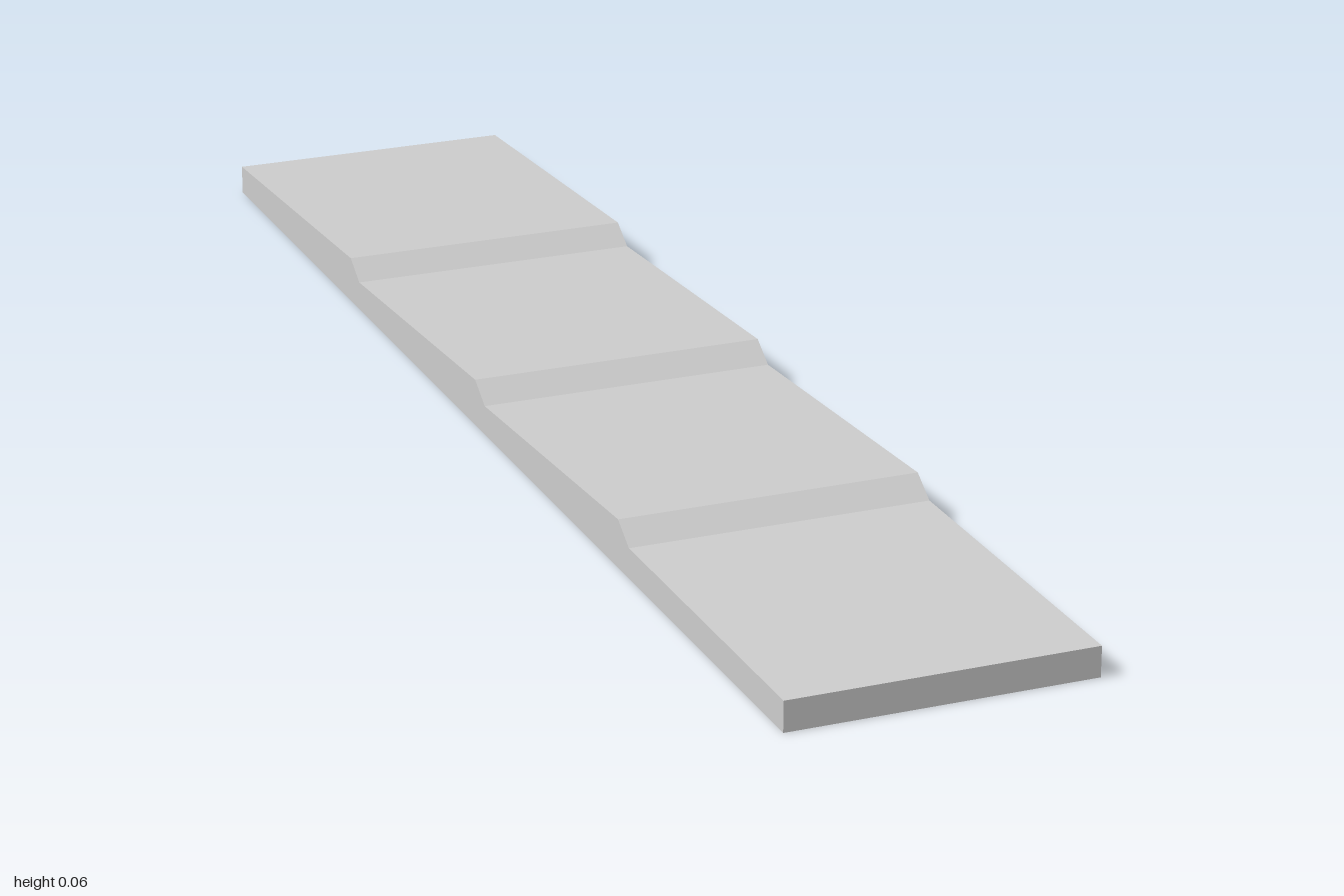
import * as THREE from 'three';

const WIDTH = 0.4, LOW = 0.04, HIGH = 0.064, RAMP = 0.035;

export function createModel() {
  const group = new THREE.Group();
  group.name = 'steppedSlab';
  const grey = new THREE.MeshStandardMaterial({ color: 0xcccccc });
  grey.name = 'light grey';

  // Side profile: shape x runs towards the back (-z), shape y is up
  const profile = new THREE.Shape();
  profile.moveTo(-1, 0);
  profile.lineTo(1, 0);
  profile.lineTo(1, LOW);
  // Three ridges: a long gentle slope behind, a short steep ramp in front
  for (const crest of [0.5, 0, -0.5]) {
    profile.lineTo(crest, HIGH);
    profile.lineTo(crest - RAMP, LOW);
  }
  profile.lineTo(-1, LOW);
  profile.closePath();

  // Extrude across the width and turn the profile along z
  const geometry = new THREE.ExtrudeGeometry(profile, { depth: WIDTH, bevelEnabled: false });
  geometry.translate(0, 0, -WIDTH / 2);
  geometry.rotateY(Math.PI / 2);

  const slab = new THREE.Mesh(geometry, grey);
  slab.name = 'ridgedSlab';
  group.add(slab);
  return group;
}
